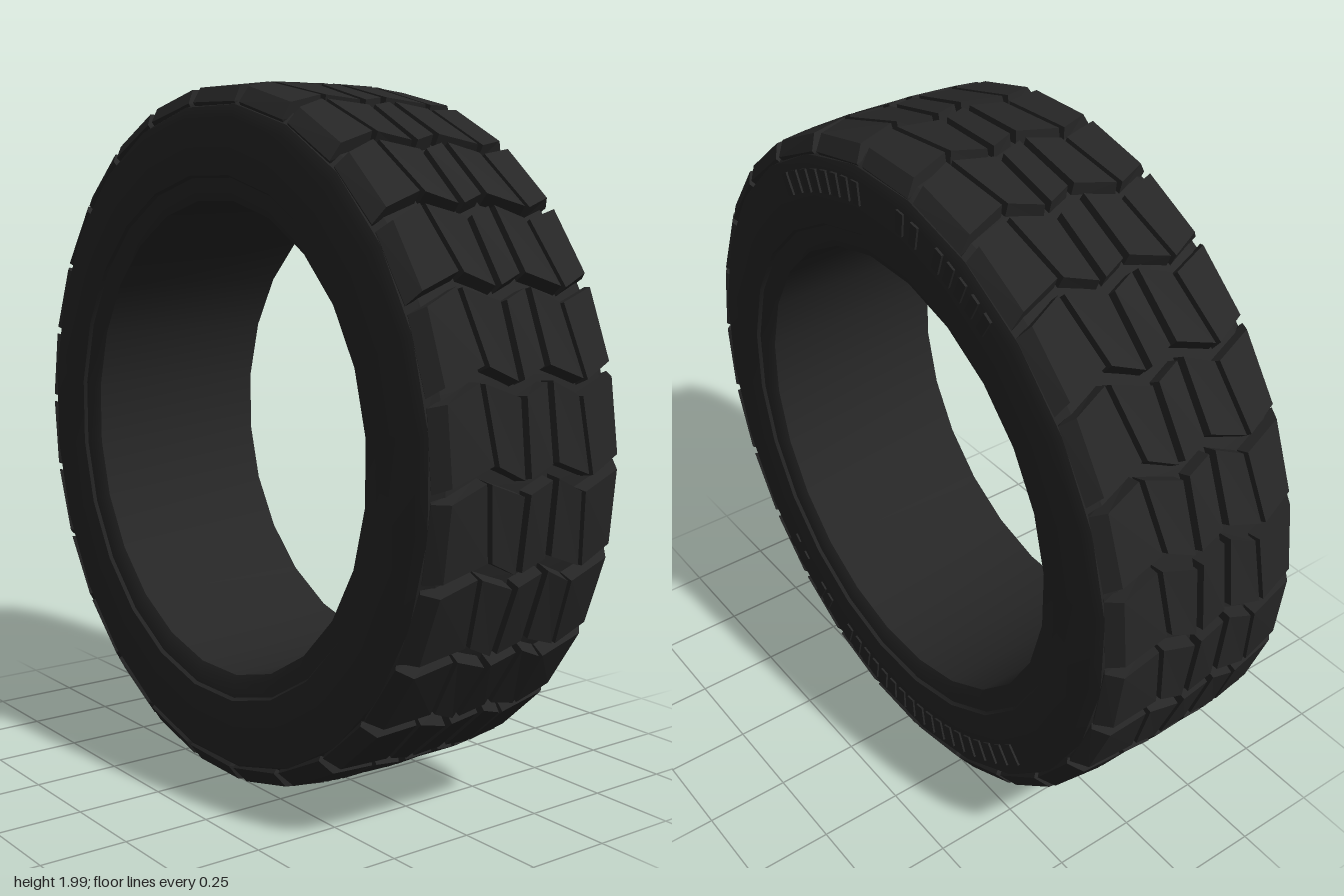
import * as THREE from 'three';
import { toCreasedNormals } from 'three/addons/utils/BufferGeometryUtils.js';

const BLOCKS = 26;
const PITCH = (Math.PI * 2) / BLOCKS;

// Zigzag of the cross grooves: angle offset as a function of z
function zigzag(z) {
  const stops = [[0, 0], [0.05, -0.02], [0.165, 0.03], [0.32, -0.03]];
  const a = Math.abs(z);
  for (let i = 1; i < stops.length; i++) {
    const [z0, v0] = stops[i - 1], [z1, v1] = stops[i];
    if (a <= z1) return Math.sign(z) * (v0 + ((v1 - v0) * (a - z0)) / (z1 - z0));
  }
  return 0;
}

// One ring of tread blocks, lofted between two copies of a [z, r] profile
function treadRing(profile) {
  const pos = [];
  const point = (k, end, [z, r]) => {
    const inset = 0.012 + (r > 0.96 ? 0.008 : 0);
    const angle = (k + end) * PITCH + zigzag(z) + (end ? -inset : inset);
    const slant = z > 0.14 && z < 0.18 ? (end ? 0.012 : -0.012) : 0;
    return [r * Math.cos(angle), r * Math.sin(angle), z + slant];
  };
  const tri = (a, b, c) => pos.push(...a, ...b, ...c);
  for (let k = 0; k < BLOCKS; k++) {
    const lo = profile.map((p) => point(k, 0, p));
    const hi = profile.map((p) => point(k, 1, p));
    for (let i = 0; i < profile.length - 1; i++) {
      tri(lo[i], hi[i], hi[i + 1]);
      tri(lo[i], hi[i + 1], lo[i + 1]);
    }
    for (let i = 1; i < profile.length - 1; i++) {
      tri(lo[0], lo[i], lo[i + 1]);
      tri(hi[0], hi[i + 1], hi[i]);
    }
  }
  const geo = new THREE.BufferGeometry();
  geo.setAttribute('position', new THREE.Float32BufferAttribute(pos, 3));
  geo.computeVertexNormals();
  return geo;
}

export function createModel() {
  const rubber = new THREE.MeshStandardMaterial({ color: 0x262626 });
  rubber.name = 'blackRubber';

  const tire = new THREE.Group();
  tire.name = 'tire';
  const add = (name, geo, parent = tire) => {
    const mesh = new THREE.Mesh(geo, rubber);
    mesh.name = name;
    parent.add(mesh);
    return mesh;
  };

  // Carcass: bead, sidewall and tread base, with a plain bore
  const half = [[0.675, 0.288], [0.70, 0.298], [0.738, 0.302], [0.745, 0.311],
    [0.80, 0.315], [0.90, 0.315], [0.935, 0.305], [0.958, 0.27], [0.968, 0.1]];
  const outline = [
    ...half.map(([r, z]) => [r, -z]),
    ...half.slice().reverse(),
    [0.675, -0.288],
  ].map(([r, z]) => new THREE.Vector2(r, z));
  const carcass = new THREE.LatheGeometry(outline, 24, Math.PI / 24);
  carcass.rotateX(Math.PI / 2);
  add('carcass', toCreasedNormals(carcass, 0.3));

  // Tread: a centre rib, then inner and shoulder rows on each side
  add('centreTread', treadRing([[-0.039, 0.95], [-0.036, 1], [0.036, 1], [0.039, 0.95]]));
  const innerRow = treadRing([[0.055, 0.95], [0.058, 1], [0.153, 0.998], [0.157, 0.95]]);
  const shoulderRow = treadRing([[0.165, 0.95], [0.169, 0.997], [0.28, 0.985],
    [0.309, 0.943], [0.295, 0.925]]);
  for (const side of ['front', 'back']) {
    const rows = new THREE.Group();
    rows.name = side + 'Tread';
    add(side + 'InnerBlocks', innerRow, rows);
    add(side + 'ShoulderBlocks', shoulderRow, rows);
    if (side === 'back') rows.rotation.x = Math.PI;
    tire.add(rows);
  }

  // Plain raised ribs on the back sidewall: [first x, last x, count, up or down]
  const ribs = new THREE.Group();
  ribs.name = 'sidewallRibs';
  const ribGeo = new THREE.BoxGeometry(0.03, 0.065, 0.012);
  const runs = [[0.45, 0.1, 8, 1], [-0.1, -0.16, 2, 1], [-0.26, -0.45, 5, 1],
    [0.59, 0.54, 2, -1], [0.44, 0.4, 2, -1], [0.28, -0.59, 18, -1]];
  for (const [x0, x1, count, up] of runs) {
    for (let i = 0; i < count; i++) {
      const x = x0 + ((x1 - x0) * i) / (count - 1);
      const y = up * Math.sqrt(0.865 ** 2 - x * x);
      const rib = add('sidewallRib', ribGeo, ribs);
      rib.position.set(x, y, -0.315);
      rib.rotation.z = Math.atan2(y, x) - Math.PI / 2;
    }
  }
  tire.add(ribs);

  tire.position.y = 1;
  const model = new THREE.Group();
  model.name = 'tireModel';
  model.add(tire);
  return model;
}
